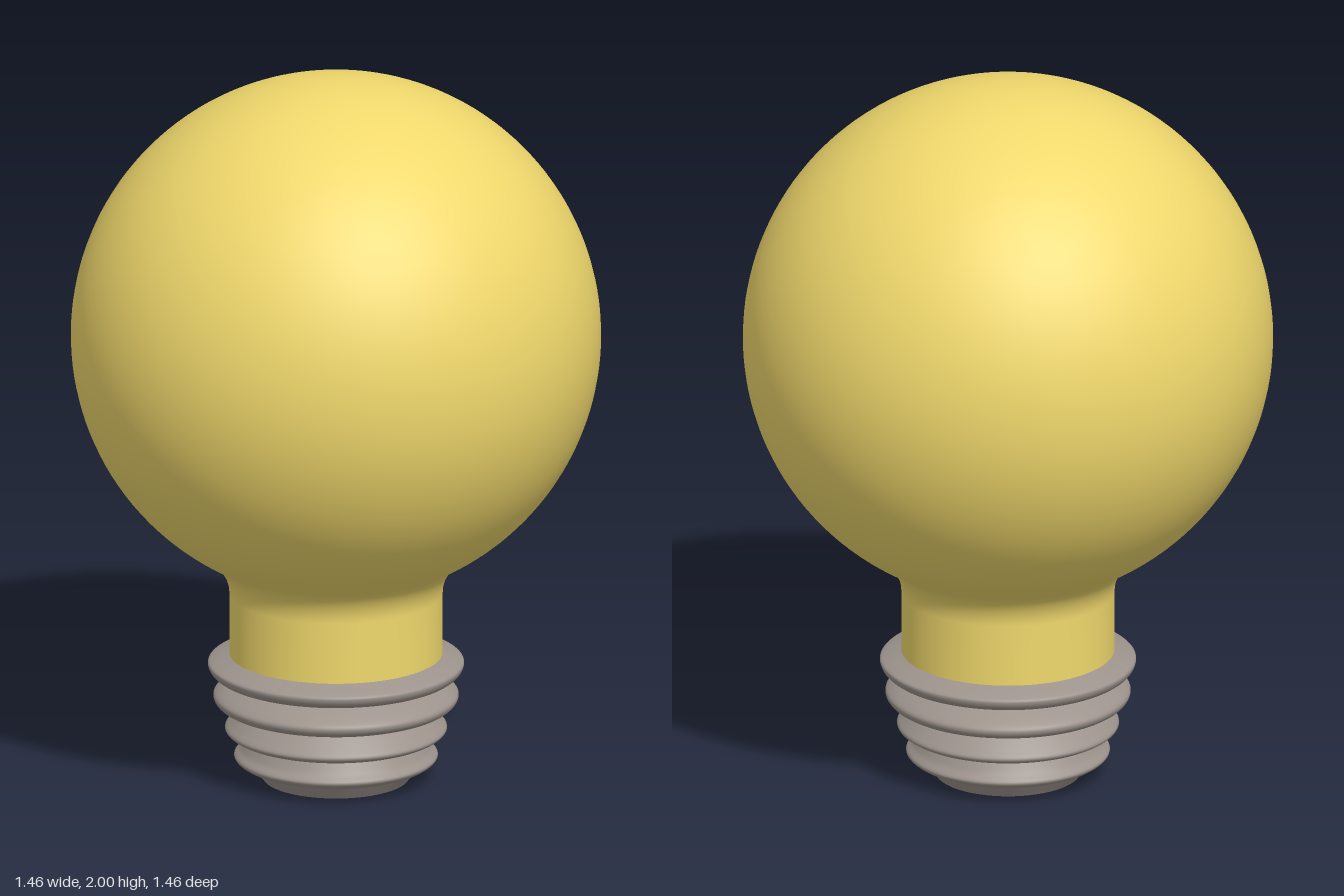
import * as THREE from 'three';

const SEGMENTS = 96;
const v = (x, y) => new THREE.Vector2(x, y);

// Revolves a bottom-to-top profile around the y axis
function lathe(name, points, material) {
  const mesh = new THREE.Mesh(new THREE.LatheGeometry(points, SEGMENTS), material);
  mesh.name = name;
  return mesh;
}

// Points along an arc, both ends included
function arc(cx, cy, r, from, to, steps) {
  return Array.from({ length: steps + 1 }, (_, i) => {
    const a = from + (to - from) * i / steps;
    return v(Math.max(0, cx + r * Math.cos(a)), cy + r * Math.sin(a));
  });
}

export function createModel() {
  const group = new THREE.Group();
  group.name = 'lightBulb';
  const glass = new THREE.MeshStandardMaterial({ color: 0xf0d86c });
  const metal = new THREE.MeshStandardMaterial({ color: 0x9c938c });

  // Glass: straight neck, concave fillet tangent to the globe, then the globe
  const R = 0.728, globeY = 2 - R, neckR = 0.293, filletR = 0.12;
  const fx = neckR + filletR;
  const fy = globeY - Math.sqrt((R + filletR) ** 2 - fx ** 2);
  const tangent = Math.atan2(fy - globeY, fx);
  group.add(lathe('glassBulb', [
    v(neckR, 0.34), v(neckR, 0.44),
    ...arc(fx, fy, filletR, Math.PI, tangent + Math.PI, 12),
    ...arc(0, globeY, R, tangent, Math.PI / 2, 64).slice(1),
  ], glass));

  // Screw base: four rounded ridges, widening upwards
  // Each ridge: [bottom radius, bottom y, tip radius, tip y, top radius, top y]
  const ridges = [
    [0.225, 0.036, 0.28, 0.066, 0.245, 0.118],
    [0.245, 0.118, 0.305, 0.145, 0.255, 0.198],
    [0.255, 0.198, 0.337, 0.238, 0.27, 0.285],
    [0.27, 0.285, 0.352, 0.33, 0.285, 0.362],
  ];
  const screwBase = new THREE.Group();
  screwBase.name = 'screwBase';
  ridges.forEach(([br, by, tr, ty, ur, uy], i) => {
    const profile = new THREE.SplineCurve([
      v(br, by),
      v(tr - 0.018, ty - (ty - by) * 0.6),
      v(tr, ty),
      v(tr - 0.018, ty + (uy - ty) * 0.42),
      v(ur, uy),
    ]);
    screwBase.add(lathe('threadRidge' + (i + 1), profile.getPoints(20), metal));
  });

  // Contact cap at the foot, tapering to a flat disc
  screwBase.add(lathe('contactRim', [v(0.2, 0), v(0.228, 0.037)], metal));
  const disc = new THREE.Mesh(new THREE.CircleGeometry(0.2, SEGMENTS), metal);
  disc.name = 'contactDisc';
  disc.rotation.x = Math.PI / 2;
  screwBase.add(disc);
  group.add(screwBase);

  return group;
}
